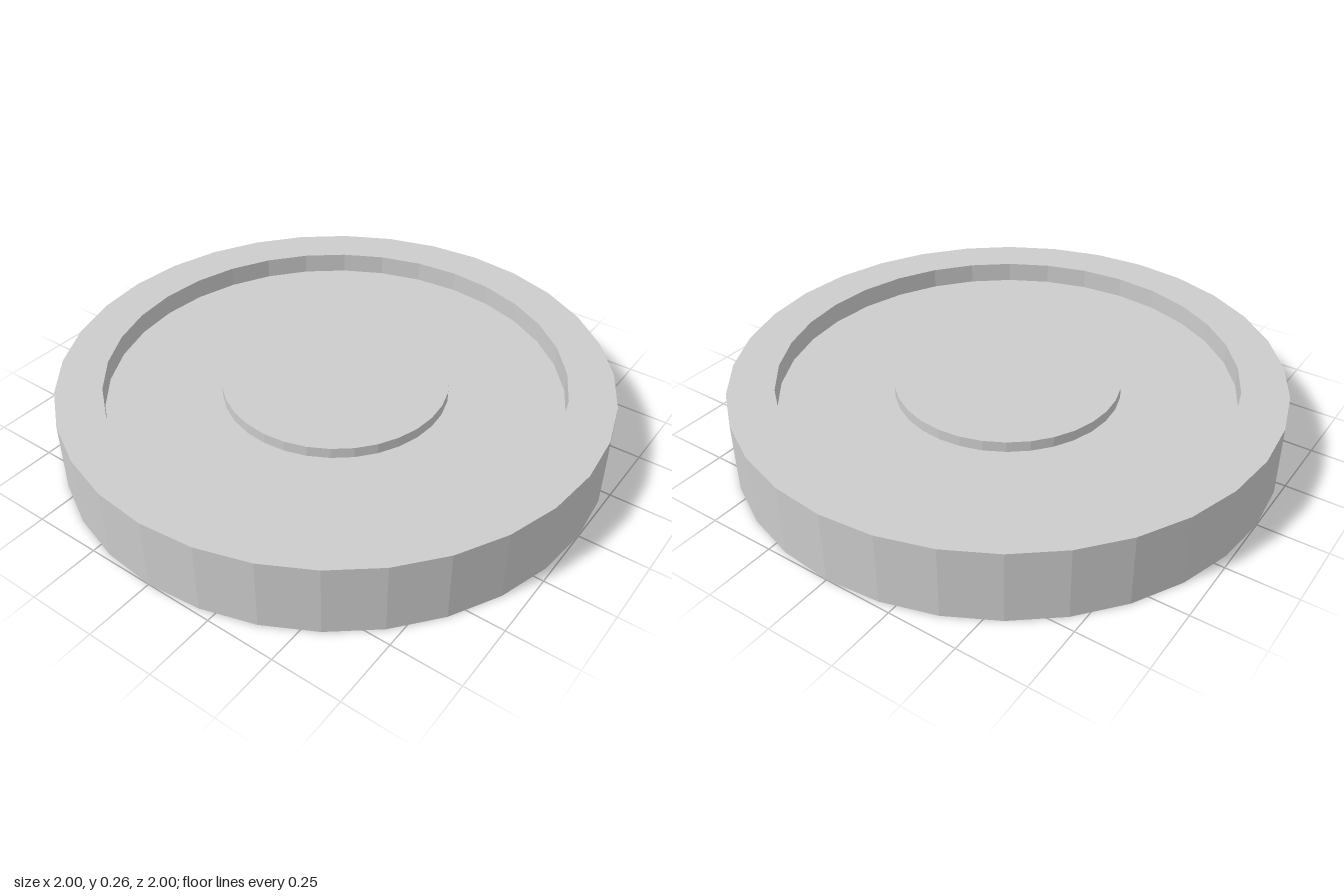
import * as THREE from 'three';

const SIDES = 32;
const H = 0.265;                          // overall height
const R_OUT = 1, R_RIM = 0.833, R_HUB = 0.413;
const WEB_LOW = 0.04, WEB_TOP = 0.188;    // recessed web between hub and rim
const HUB_TOP = 0.227;

const material = new THREE.MeshStandardMaterial({ color: 0xcccccc, flatShading: true });

// Turn a [radius, height] profile around the y axis
function turned(name, profile) {
  const points = profile.map(([r, y]) => new THREE.Vector2(r, y));
  const mesh = new THREE.Mesh(new THREE.LatheGeometry(points, SIDES), material);
  mesh.name = name;
  return mesh;
}

export function createModel() {
  const group = new THREE.Group();
  group.name = 'wheelDisc';
  group.add(
    // Outer rim: underside, outer wall, top and the inner walls down to the web
    turned('rim', [
      [R_RIM, WEB_LOW], [R_RIM, 0], [R_OUT, 0], [R_OUT, H], [R_RIM, H], [R_RIM, WEB_TOP],
    ]),
    // Thin web, set in from both faces
    turned('webTop', [[R_RIM, WEB_TOP], [R_HUB, WEB_TOP]]),
    turned('webUnderside', [[R_HUB, WEB_LOW], [R_RIM, WEB_LOW]]),
    // Central hub raised from the web on both sides
    turned('hubTop', [[R_HUB, WEB_TOP], [R_HUB, HUB_TOP], [0, HUB_TOP]]),
    turned('hubUnderside', [[0, 0], [R_HUB, 0], [R_HUB, WEB_LOW]]),
  );
  return group;
}
